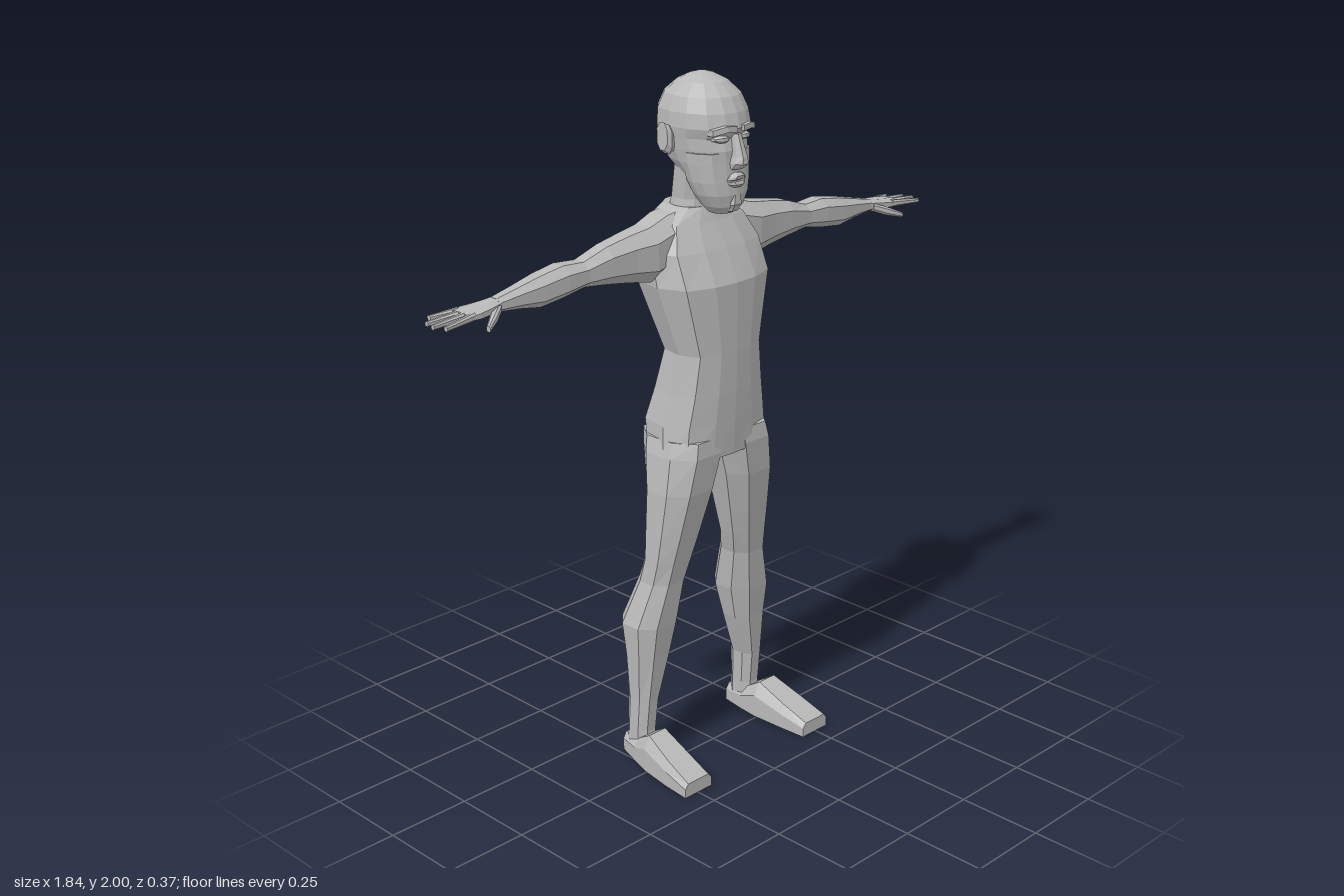
import * as THREE from 'three';

const skin = new THREE.MeshStandardMaterial({ color: 0xb8b8b8 });

// Skins a list of closed rings, caps both ends and turns the faces outwards.
function loft(rings) {
  const tris = [], n = rings[0].length;
  const V = (p) => new THREE.Vector3(...p);
  const R = rings.map((r) => r.map(V));
  for (let i = 0; i < R.length - 1; i++) {
    for (let j = 0; j < n; j++) {
      const k = (j + 1) % n;
      const a = R[i][j], b = R[i][k], c = R[i + 1][k], d = R[i + 1][j];
      tris.push([a, b, c], [a, c, d]);
    }
  }
  const cap = (ring, flip) => {
    const mid = ring.reduce((s, p) => s.add(p), new THREE.Vector3()).divideScalar(n);
    for (let j = 0; j < n; j++) {
      const a = ring[j], b = ring[(j + 1) % n];
      tris.push(flip ? [b, a, mid] : [a, b, mid]);
    }
  };
  cap(R[0], true);
  cap(R[R.length - 1], false);
  let volume = 0;
  for (const [a, b, c] of tris) volume += a.dot(b.clone().cross(c));
  const pts = tris.flatMap(([a, b, c]) => (volume < 0 ? [a, c, b] : [a, b, c]));
  const g = new THREE.BufferGeometry().setFromPoints(pts);
  g.computeVertexNormals(); // unshared corners give flat facets
  return g;
}

// Symmetric ring at height y; profile holds [width share, front-to-back share].
function bodyRing(profile, [y, half, front, back]) {
  const side = profile.map(([u, v]) => [u * half, y, front + (back - front) * v]);
  const other = side.slice(1, -1).reverse().map(([x, yy, z]) => [-x, yy, z]);
  return [...side, ...other];
}

const OCT = [[-0.5, 1], [0.5, 1], [1, 0.45], [1, -0.45], [0.5, -1], [-0.5, -1], [-1, -0.45], [-1, 0.45]];
const BOX = [[-1, 1], [1, 1], [1, -1], [-1, -1]];

// Ring filling the rectangle a0..a1 by b0..b1; make places it in space.
const rectRing = (shape, a0, a1, b0, b1, make) =>
  shape.map(([u, v]) => make((a0 + a1) / 2 + (u * (a1 - a0)) / 2, (b0 + b1) / 2 + (v * (b1 - b0)) / 2));

const TORSO = [[0, 0], [0.4, 0.02], [0.83, 0.13], [1, 0.42], [0.9, 0.78], [0.45, 0.96], [0, 1]];
const HEAD = [[0, 0], [0.36, 0.03], [0.72, 0.13], [0.95, 0.33], [1, 0.55], [0.85, 0.79], [0.47, 0.95], [0, 1]];

export function createModel() {
  const model = new THREE.Group();
  const add = (name, rings, parent = model) => {
    const mesh = new THREE.Mesh(loft(rings), skin);
    mesh.name = name;
    parent.add(mesh);
  };

  // Torso, from the crotch to the base of the neck: y, half width, front z, back z
  add('torso', [
    [0.94, 0.19, 0.08, -0.13], [1.04, 0.178, 0.086, -0.165], [1.13, 0.158, 0.09, -0.14],
    [1.245, 0.14, 0.092, -0.11], [1.34, 0.165, 0.092, -0.145], [1.44, 0.192, 0.092, -0.18],
    [1.53, 0.19, 0.05, -0.178], [1.6, 0.155, 0.012, -0.168], [1.64, 0.085, -0.005, -0.155],
  ].map((r) => bodyRing(TORSO, r)));

  // Neck
  add('neck', [
    [1.6, 0.085, 0.0, -0.14], [1.66, 0.072, -0.005, -0.125], [1.75, 0.075, 0.01, -0.11], [1.8, 0.08, 0.0, -0.115],
  ].map((r) => bodyRing(HEAD, r)));

  // Skull and jaw
  const head = new THREE.Group();
  head.name = 'head';
  model.add(head);
  add('skull', [
    [1.735, 0.08, 0.08, -0.09], [1.77, 0.094, 0.087, -0.135], [1.805, 0.102, 0.09, -0.16],
    [1.838, 0.108, 0.082, -0.172], [1.865, 0.112, 0.098, -0.176], [1.905, 0.109, 0.088, -0.172],
    [1.945, 0.094, 0.067, -0.152], [1.978, 0.064, 0.028, -0.112], [1.995, 0.032, -0.01, -0.075],
    [2.0, 0.012, -0.03, -0.055],
  ].map((r) => bodyRing(HEAD, r)), head);
  add('jaw', [
    [1.63, 0.035, 0.065, -0.002], [1.652, 0.058, 0.086, -0.02], [1.685, 0.078, 0.092, -0.04],
    [1.72, 0.09, 0.09, -0.055], [1.77, 0.098, 0.087, -0.07], [1.8, 0.1, 0.086, -0.07],
  ].map((r) => bodyRing(HEAD, r)), head);

  // Nose, brows, lips: x-y boxes stacked along y as [y, x0, x1, z0, z1]
  const stack = (name, rows, shape = BOX) =>
    add(name, rows.map(([y, x0, x1, z0, z1]) => rectRing(shape, x0, x1, z0, z1, (x, z) => [x, y, z])), head);
  stack('nose', [
    [1.755, -0.02, 0.02, 0.06, 0.1], [1.772, -0.022, 0.022, 0.06, 0.122],
    [1.79, -0.017, 0.017, 0.06, 0.12], [1.85, -0.011, 0.011, 0.06, 0.098],
  ], OCT);
  stack('upperLip', [[1.728, -0.036, 0.036, 0.05, 0.1], [1.738, -0.026, 0.026, 0.05, 0.104], [1.746, -0.014, 0.014, 0.05, 0.094]], OCT);
  stack('lowerLip', [[1.706, -0.02, 0.02, 0.05, 0.094], [1.714, -0.028, 0.028, 0.05, 0.102], [1.723, -0.035, 0.035, 0.05, 0.098]], OCT);
  stack('chin', [[1.638, -0.02, 0.02, 0.03, 0.082], [1.658, -0.028, 0.028, 0.03, 0.094], [1.685, -0.018, 0.018, 0.03, 0.092]], OCT);

  for (const s of [1, -1]) {
    const tag = s > 0 ? 'left' : 'right';

    // Brow, eye and ear
    add(tag + 'Brow', [[0.012, 1.857, 1.872, 0.104], [0.045, 1.86, 1.876, 0.1], [0.08, 1.85, 1.866, 0.078]]
      .map(([x, y0, y1, z]) => rectRing(BOX, y0, y1, z - 0.04, z, (y, zz) => [s * x, y, zz])), head);
    add(tag + 'Eye', [[0.02, 0.004, 0.08], [0.034, 0.01, 0.087], [0.05, 0.01, 0.085], [0.066, 0.004, 0.073]]
      .map(([x, h, z]) => rectRing(OCT, 1.838 - h, 1.838 + h, z - 0.03, z, (y, zz) => [s * x, y, zz])), head);
    add(tag + 'Ear', [[0.095, 1.8, 1.855, -0.065, -0.045], [0.115, 1.79, 1.868, -0.08, -0.04], [0.125, 1.8, 1.875, -0.088, -0.048]]
      .map(([x, y0, y1, z0, z1]) => rectRing(OCT, y0, y1, z0, z1, (y, z) => [s * x, y, z])), head);

    // Parts running along x: [x, low y, high y, back z, front z]
    const along = (name, rows, parent, shape = OCT) =>
      add(name, rows.map(([x, y0, y1, z0, z1]) => rectRing(shape, y0, y1, z0, z1, (y, z) => [s * x, y, z])), parent);

    // Arm
    along(tag + 'Arm', [
      [0.06, 1.5, 1.635, -0.15, -0.01], [0.13, 1.47, 1.625, -0.15, -0.008], [0.2, 1.455, 1.606, -0.132, -0.005],
      [0.27, 1.468, 1.596, -0.12, -0.015], [0.35, 1.48, 1.582, -0.112, -0.02], [0.43, 1.488, 1.556, -0.108, -0.027],
      [0.5, 1.475, 1.56, -0.116, -0.025], [0.58, 1.466, 1.548, -0.108, -0.028], [0.65, 1.477, 1.533, -0.098, -0.034],
      [0.72, 1.483, 1.518, -0.092, -0.04],
    ], model);

    // Hand with four fingers and a thumb
    const hand = new THREE.Group();
    hand.name = tag + 'Hand';
    model.add(hand);
    along('palm', [
      [0.7, 1.484, 1.52, -0.09, -0.042], [0.745, 1.482, 1.514, -0.102, -0.033],
      [0.79, 1.48, 1.508, -0.115, -0.028], [0.825, 1.482, 1.503, -0.113, -0.03],
    ], hand);
    const fingers = [[-0.102, 0.88, -0.125], [-0.082, 0.915, -0.089], [-0.061, 0.922, -0.056], [-0.04, 0.908, -0.022]];
    for (const [z0, tip, z1] of fingers) {
      along('finger', [0, 0.5, 1].map((t) => {
        const z = z0 + (z1 - z0) * t, w = 0.0105 - 0.004 * t, y = 1.494 - 0.006 * t;
        return [0.805 + (tip - 0.805) * t, y - w, y + w, z - w, z + w];
      }), hand);
    }
    along('thumb', [
      [0.72, 1.484, 1.508, -0.06, -0.035], [0.755, 1.47, 1.496, -0.038, -0.01], [0.797, 1.461, 1.476, -0.003, 0.013],
    ], hand);

    // Leg: [y, inner x, outer x, back z, front z]
    add(tag + 'Leg', [
      [1.0, 0.002, 0.178, -0.145, 0.075], [0.955, 0.002, 0.191, -0.135, 0.08], [0.85, 0.03, 0.207, -0.105, 0.07],
      [0.72, 0.064, 0.215, -0.094, 0.045], [0.64, 0.085, 0.22, -0.086, 0.028], [0.57, 0.105, 0.224, -0.105, 0.014],
      [0.44, 0.115, 0.265, -0.145, 0.0], [0.34, 0.138, 0.258, -0.128, -0.014], [0.2, 0.18, 0.25, -0.118, -0.03],
      [0.1, 0.184, 0.25, -0.12, -0.04], [0.02, 0.184, 0.25, -0.126, -0.035],
    ].map(([y, x0, x1, z0, z1]) => rectRing(OCT, x0, x1, z0, z1, (x, z) => [s * x, y, z])));

    // Foot: [z, bottom y, top y, inner and outer x at the sole, inner and outer x on top]
    add(tag + 'Foot', [
      [-0.127, 0.015, 0.07, 0.185, 0.248, 0.19, 0.245], [-0.06, 0.012, 0.078, 0.178, 0.268, 0.186, 0.255],
      [0.0, 0.008, 0.115, 0.176, 0.284, 0.192, 0.272], [0.1, 0.003, 0.074, 0.186, 0.295, 0.195, 0.288],
      [0.185, 0.0, 0.042, 0.195, 0.3, 0.2, 0.296],
    ].map(([z, y0, y1, a, b, c, d]) => {
      const h = y0 + (y1 - y0) * 0.65;
      return [[a, y0], [b, y0], [b, h], [d - 0.008, y1], [c + 0.008, y1], [a, h]].map(([x, y]) => [s * x, y, z]);
    }));
  }
  return model;
}
